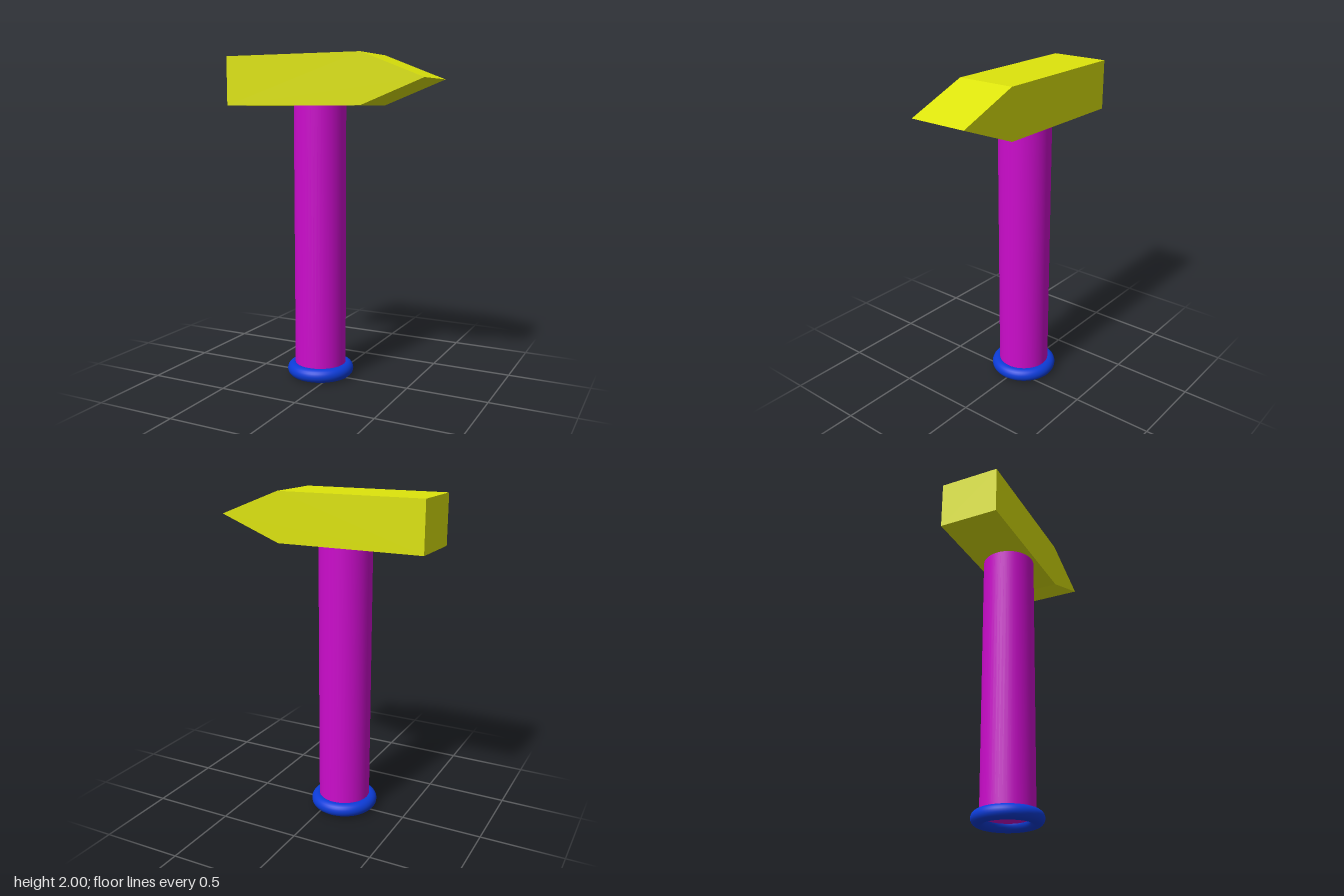
import * as THREE from 'three';

const AXIS_X = -0.09; // handle axis

export function createModel() {
  const hammer = new THREE.Group();
  hammer.name = 'hammer';

  const add = (name, geometry, color, x, y, z) => {
    const mesh = new THREE.Mesh(geometry, new THREE.MeshStandardMaterial({ color }));
    mesh.name = name;
    mesh.position.set(x, y, z);
    hammer.add(mesh);
    return mesh;
  };

  // Head: block with a wedge peen, extruded through its depth
  const depth = 0.366;
  const profile = new THREE.Shape([
    [-0.643, 1.7], [0.26, 1.7], [0.643, 1.85], [0.26, 2], [-0.643, 2],
  ].map(([x, y]) => new THREE.Vector2(x, y)));
  add('head', new THREE.ExtrudeGeometry(profile, { depth, bevelEnabled: false }),
    0xdde40c, 0, 0, -depth / 2);

  // Handle: from the middle of the ring up to the head
  const bottom = 0.043, top = 1.7;
  add('handle', new THREE.CylinderGeometry(0.16, 0.16, top - bottom, 48),
    0xcc0ccc, AXIS_X, (top + bottom) / 2, 0);

  // Ring around the handle's end
  const ring = add('endRing', new THREE.TorusGeometry(0.166, 0.043, 24, 64),
    0x0c3cd8, AXIS_X, 0.043, 0);
  ring.rotation.x = Math.PI / 2;

  return hammer;
}
